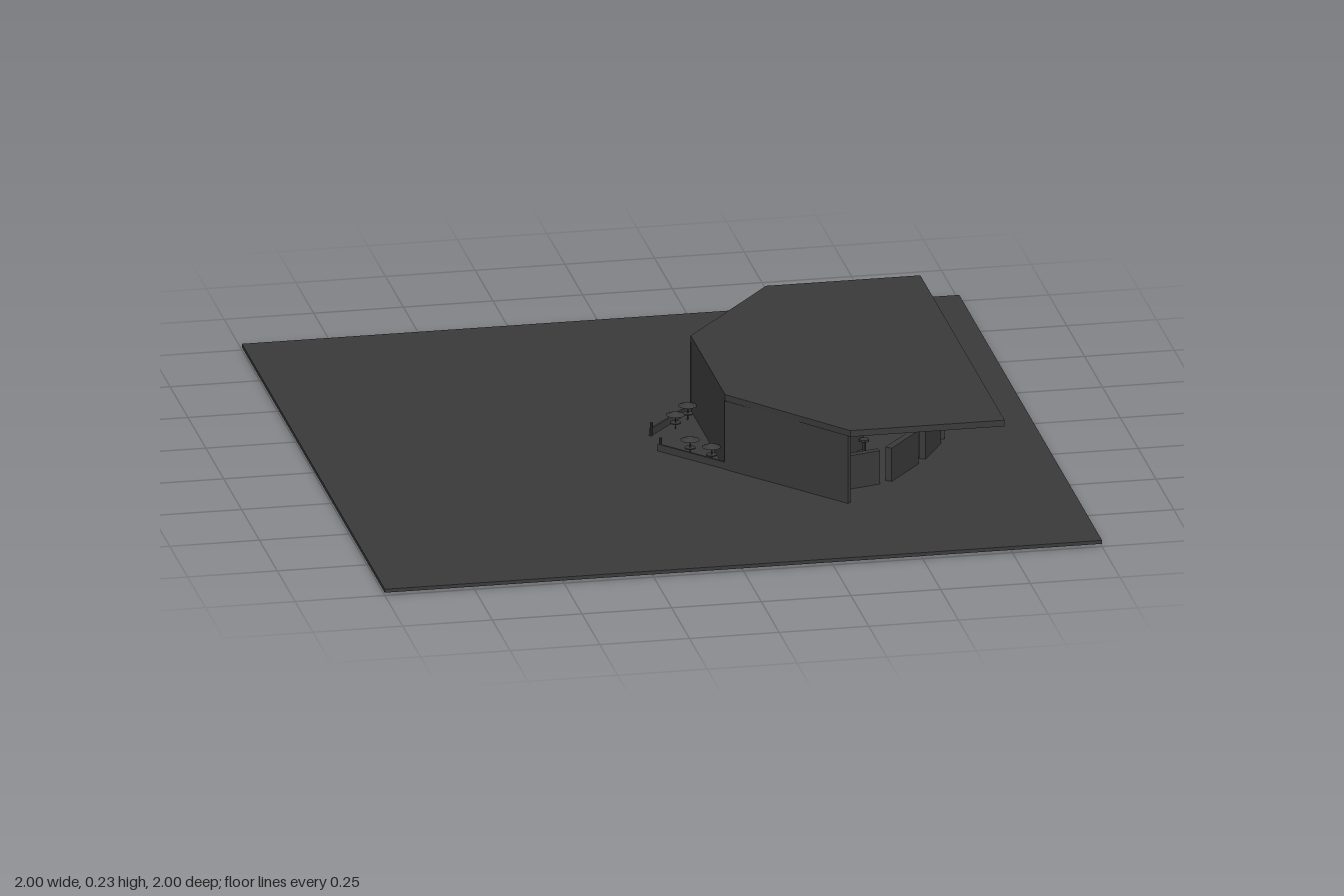
import * as THREE from 'three';

const GROUND = 0.018, CEILING = 0.217;
const dark = new THREE.MeshStandardMaterial({ color: 0x3a3a3a, flatShading: true });

function add(parent, name, geometry, x = 0, y = 0, z = 0) {
  const mesh = new THREE.Mesh(geometry, dark);
  mesh.name = name;
  mesh.position.set(x, y, z);
  parent.add(mesh);
  return mesh;
}

// Upright slab between two plan points [x, z]
function wall(parent, name, a, b, y0, y1, thickness = 0.01) {
  const dx = b[0] - a[0], dz = b[1] - a[1];
  const mesh = add(parent, name, new THREE.BoxGeometry(Math.hypot(dx, dz), y1 - y0, thickness),
    (a[0] + b[0]) / 2, (y0 + y1) / 2, (a[1] + b[1]) / 2);
  mesh.rotation.y = -Math.atan2(dz, dx);
  return mesh;
}

function post(parent, name, x, z, y0, y1, r) {
  return add(parent, name, new THREE.CylinderGeometry(r, r, y1 - y0, 8), x, (y0 + y1) / 2, z);
}

function parasolTable(parent, x, z) {
  const table = new THREE.Group();
  table.name = 'parasolTable';
  table.position.set(x, 0, z);
  post(table, 'parasolPole', 0, 0, GROUND, 0.065, 0.002);
  add(table, 'tableTop', new THREE.CylinderGeometry(0.015, 0.015, 0.003, 12), 0, 0.036, 0);
  add(table, 'parasolCanopy', new THREE.ConeGeometry(0.027, 0.011, 12), 0, 0.0645, 0);
  parent.add(table);
}

export function createModel() {
  const model = new THREE.Group();
  model.name = 'pavilion';

  add(model, 'ground', new THREE.BoxGeometry(2, 0.01, 2), 0, 0.013, 0);

  // Six-sided flat roof, drawn in plan and laid flat
  const outline = [[0.1, -0.24], [0.38, -0.59], [0.81, -0.59], [0.81, 0.59], [0.38, 0.59], [0.1, 0.24]];
  const roof = new THREE.ExtrudeGeometry(
    new THREE.Shape(outline.map(([x, z]) => new THREE.Vector2(x, -z))), { depth: 0.018, bevelEnabled: false });
  roof.rotateX(-Math.PI / 2);
  add(model, 'roof', roof, 0, CEILING, 0);

  wall(model, 'endWall', [0.105, -0.235], [0.105, 0.235], GROUND, CEILING);

  // Parts repeated on both sides of the entrance axis
  for (const s of [1, -1]) {
    const side = new THREE.Group();
    side.name = s > 0 ? 'frontSide' : 'backSide';
    model.add(side);

    wall(side, 'diagonalWall', [0.102, s * 0.238], [0.38, s * 0.572], GROUND, CEILING);
    wall(side, 'terraceWall', [-0.05, s * 0.06], [0.102, s * 0.238], GROUND, 0.038, 0.006);
    post(side, 'terracePost', -0.045, s * 0.063, GROUND, 0.056, 0.004);
    parasolTable(side, 0.03, s * 0.102);
    parasolTable(side, 0.077, s * 0.168);

    // Faceted ring of half-height panels
    for (const [a, b] of [
      [[0.38, 0.46], [0.49, 0.43]],
      [[0.52, 0.42], [0.62, 0.295]],
      [[0.645, 0.265], [0.71, 0.15]],
    ]) wall(side, 'counterPanel', [a[0], s * a[1]], [b[0], s * b[1]], GROUND, 0.115, 0.02);

    // Stools with feet set through the ground
    for (const [x, z] of [[0.5, 0.18], [0.585, 0.05]]) {
      post(side, 'stoolLeg', x, s * z, 0, 0.05, 0.005);
      post(side, 'stoolSeat', x, s * z, 0.05, 0.056, 0.014);
    }
  }
  wall(model, 'centreCounterPanel', [0.728, 0.122], [0.728, -0.122], GROUND, 0.115, 0.016);

  // Full-height folded partition behind the counters
  const fold = [[0.34, 0.3], [0.5, 0.15], [0.5, 0.045], [0.58, 0.045], [0.58, -0.04], [0.5, -0.15], [0.34, -0.3]];
  for (let i = 1; i < fold.length; i++) wall(model, 'partition', fold[i - 1], fold[i], GROUND, CEILING);
  wall(model, 'finWall', [0.58, -0.153], [0.755, -0.153], GROUND, CEILING, 0.024);

  return model;
}
